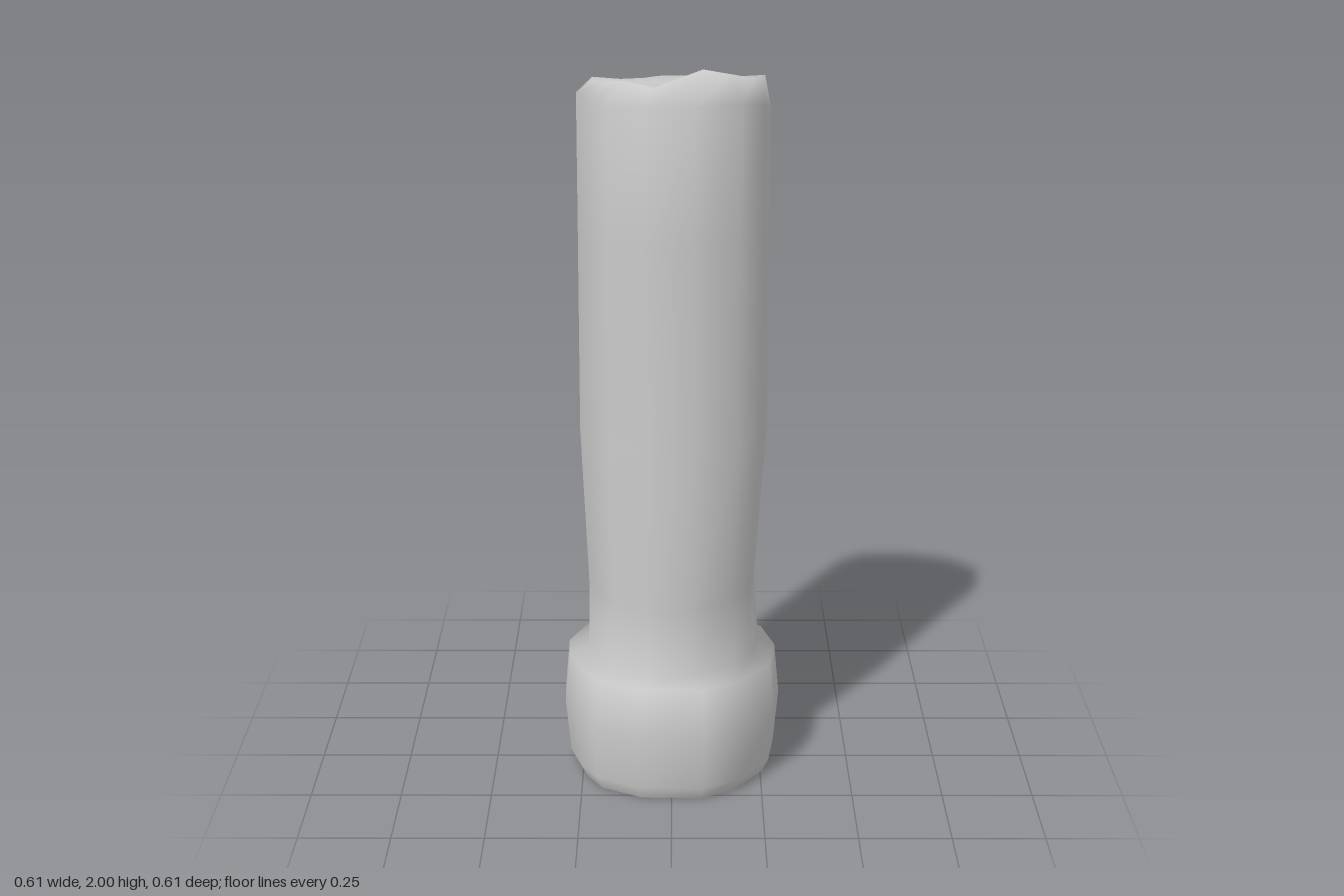
import * as THREE from 'three';

// Outlines [x, z], running from the back round the +x side
const collar = [[0.06, -0.305], [0.19, -0.24], [0.27, -0.165], [0.305, -0.03], [0.285, 0.115], [0.19, 0.245], [0.09, 0.303],
  [-0.09, 0.297], [-0.215, 0.23], [-0.265, 0.15], [-0.3, 0.04], [-0.305, -0.06], [-0.25, -0.195], [-0.13, -0.295]];
const shaft = [[0.06, -0.265], [0.165, -0.21], [0.235, -0.135], [0.262, -0.02], [0.24, 0.1], [0.18, 0.19], [0.06, 0.25],
  [-0.07, 0.245], [-0.17, 0.185], [-0.21, 0.125], [-0.25, 0.03], [-0.252, -0.045], [-0.2, -0.155], [-0.1, -0.245]];

// Worn rim heights, then the broken crest inside it [x, y, z]
const rimY = [1.85, 1.85, 1.85, 1.87, 1.9, 1.92, 1.92, 1.92, 1.91, 1.91, 1.92, 1.91, 1.9, 1.86];
const crest = [[0.05, 1.9, -0.21], [0.14, 1.92, -0.17], [0.2, 1.94, -0.11], [0.245, 1.96, -0.01], [0.21, 1.965, 0.07],
  [0.15, 1.985, 0.13], [0.08, 2, 0.15], [-0.05, 1.96, 0.205], [-0.13, 1.97, 0.15], [-0.17, 1.96, 0.1],
  [-0.21, 1.95, 0.02], [-0.21, 1.95, -0.04], [-0.16, 1.93, -0.12], [-0.08, 1.91, -0.19]];

const ring = (outline, y, sx, sz = sx, dx = 0, dz = 0) =>
  outline.map(([x, z]) => [x * sx + dx, y, z * sz + dz]);

// Skin between rings, closed by a centre point on the last one
function loft(rings, centre) {
  const n = rings[0].length, index = [];
  for (let i = 0; i < rings.length; i++) {
    for (let k = 0; k < n; k++) {
      const a = i * n + k, b = i * n + (k + 1) % n;
      if (i < rings.length - 1) index.push(a, a + n, b, b, a + n, b + n);
      else index.push(a, rings.length * n, b);
    }
  }
  const geometry = new THREE.BufferGeometry();
  geometry.setAttribute('position', new THREE.Float32BufferAttribute([...rings.flat(2), ...centre], 3));
  geometry.setIndex(index);
  geometry.computeVertexNormals();
  return geometry;
}

export function createModel() {
  const group = new THREE.Group();
  group.name = 'brokenColumn';
  const material = new THREE.MeshStandardMaterial({ color: 0xcccccc });
  const add = (name, geometry) => {
    const mesh = new THREE.Mesh(geometry, material);
    mesh.name = name;
    group.add(mesh);
  };

  const foot = ring(collar, 0, 0.89);
  const body = [
    // Bulging collar at the foot
    foot,
    ring(collar, 0.04, 0.955),
    ring(collar, 0.19, 1),
    ring(collar, 0.335, 0.955),
    // Slightly uneven shaft
    ring(shaft, 0.36, 0.93, 0.96),
    ring(shaft, 0.55, 0.9, 1, -0.005, -0.003),
    ring(shaft, 1, 1, 0.965, 0, 0.005),
    ring(shaft, 1.55, 1, 0.985, 0, -0.004),
    // Broken top
    shaft.map(([x, z], k) => [x, rimY[k], z * (z > 0 ? 1.05 : 0.99)]),
    crest,
    ring(crest.map(([x, , z]) => [x, z]), 1.945, 0.45),
  ];
  add('columnShaft', loft(body, [0, 1.935, 0]));

  // Flat underside, wound to face down
  add('underside', loft([[...foot].reverse()], [0, 0, 0]));
  return group;
}
